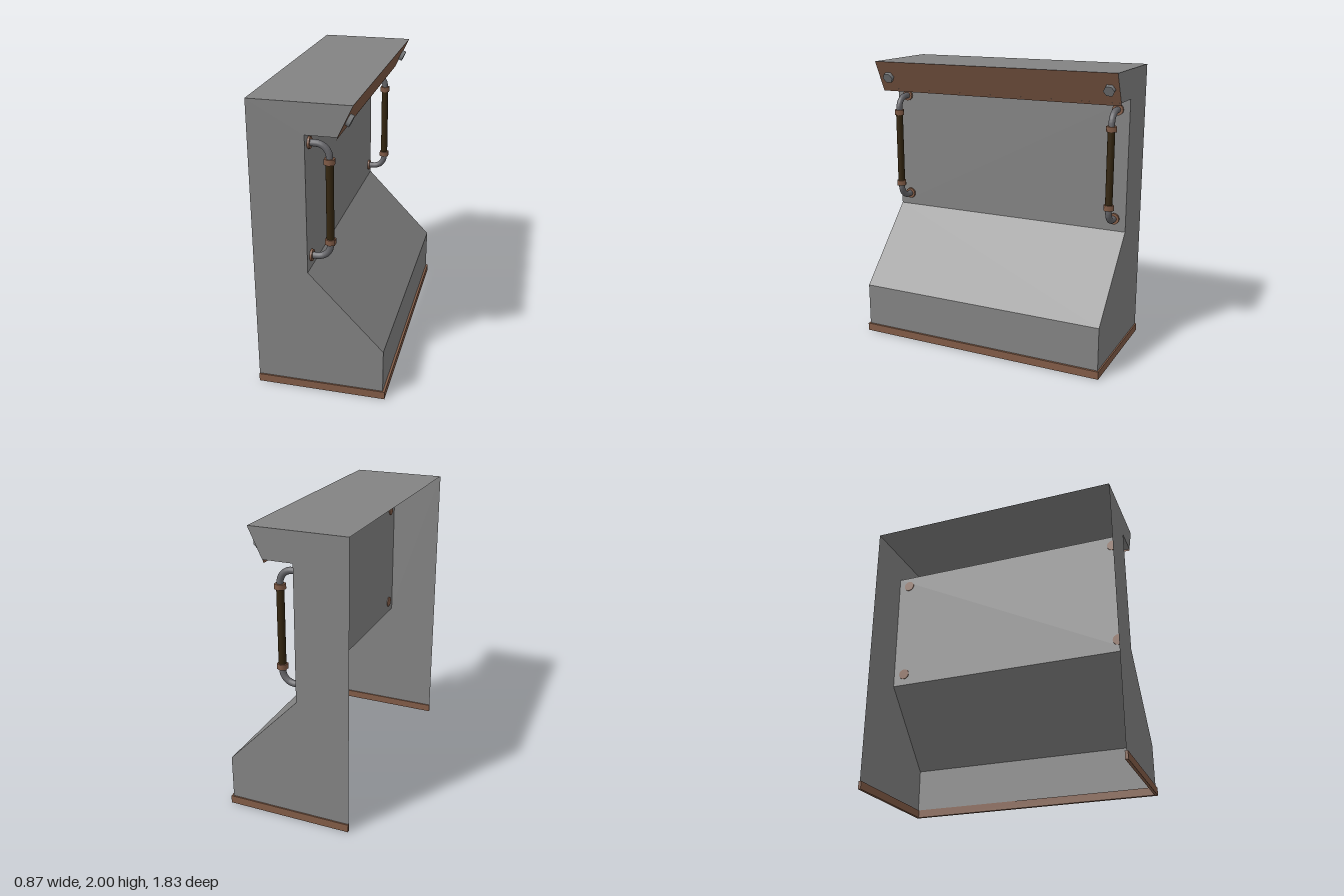
import * as THREE from 'three';

const flat = (name, color, side = THREE.FrontSide) => {
  const m = new THREE.MeshStandardMaterial({ color, side });
  m.name = name;
  return m;
};

export function createModel() {
  const model = new THREE.Group();
  model.name = 'openBackCabinet';
  const grey = flat('panel grey', 0x838383, THREE.DoubleSide);
  const copper = flat('copper brown', 0x825c47, THREE.DoubleSide);
  const steel = flat('pipe steel', 0x66666a);
  const boltGrey = flat('bolt grey', 0x7c7e80);
  const leather = flat('grip dark brown', 0x33250f);

  const add = (parent, name, geo, mat, x = 0, y = 0, z = 0) => {
    const mesh = new THREE.Mesh(geo, mat);
    mesh.name = name;
    mesh.position.set(x, y, z);
    parent.add(mesh);
    return mesh;
  };

  const W = 0.905;
  // Thin sheet spanning the width between two profile points
  const sheet = (name, a, b, mat) => {
    const len = Math.hypot(b[0] - a[0], b[1] - a[1]);
    const geo = new THREE.PlaneGeometry(len, 2 * W).rotateX(-Math.PI / 2);
    const mesh = add(model, name, geo, mat, (a[0] + b[0]) / 2, (a[1] + b[1]) / 2);
    mesh.rotation.z = Math.atan2(b[1] - a[1], b[0] - a[0]);
  };

  // Side profile, from the back top round the front to the floor
  const P = [[-0.438, 2], [0.22, 2], [0.125, 1.8], [-0.077, 1.8],
    [-0.077, 0.88], [0.42, 0.36], [0.42, 0], [-0.438, 0]];
  const profile = new THREE.Shape(P.map(([x, y]) => new THREE.Vector2(x, y)));
  for (const s of [1, -1]) {
    add(model, s > 0 ? 'frontEndWall' : 'backEndWall', new THREE.ShapeGeometry(profile), grey, 0, 0, s * W)
      .rotation.y = 0;
  }

  // Shell sheets; the rear and underside stay open
  sheet('topPanel', P[0], P[1], grey);
  sheet('canopyUnderside', P[3], P[2], grey);
  sheet('uprightPanel', P[4], P[3], grey);
  sheet('slopedPanel', P[4], P[5], grey);
  sheet('lowerPanel', P[5], P[6], grey);
  const lip = [0.115, 1.78];
  sheet('canopyFascia', lip, P[1], copper);

  // Base trim on three sides
  add(model, 'baseTrimLong', new THREE.BoxGeometry(0.025, 0.055, 1.83), copper, 0.4225, 0.0275, 0);
  for (const s of [1, -1]) {
    add(model, 'baseTrimEnd', new THREE.BoxGeometry(0.848, 0.055, 0.02), copper, -0.014, 0.0275, s * W);
  }

  // Hex bolts standing square to the fascia
  const normal = new THREE.Vector3(0.22, -0.105, 0).normalize();
  for (const z of [0.823, -0.84]) {
    const bolt = add(model, 'fasciaBolt', new THREE.CylinderGeometry(0.039, 0.039, 0.03, 6).toNonIndexed(),
      boltGrey, 0.168 + normal.x * 0.012, 1.89 + normal.y * 0.012, z);
    bolt.quaternion.setFromUnitVectors(new THREE.Vector3(0, 1, 0), normal);
  }

  // Pipe handles: wall flanges, bent ends, hex collars and a wrapped grip
  const X = 0.053, top = 1.727, bottom = 0.968;
  for (const s of [1, -1]) {
    const handle = new THREE.Group();
    handle.name = s > 0 ? 'frontHandle' : 'backHandle';
    handle.position.z = s * 0.822;
    model.add(handle);
    for (const [y, dir] of [[top, -1], [bottom, 1]]) {
      const bend = 0.085;
      const path = new THREE.CurvePath();
      const v = (x, yy) => new THREE.Vector3(x, yy, 0);
      const arc = [];
      for (let i = 0; i <= 8; i++) {
        const t = (i / 8) * Math.PI / 2;
        arc.push(v(X - bend + bend * Math.sin(t), y + dir * bend * (1 - Math.cos(t))));
      }
      const pts = [v(-0.08, y), ...arc, v(X, y + dir * 0.12)];
      for (let i = 1; i < pts.length; i++) path.add(new THREE.LineCurve3(pts[i - 1], pts[i]));
      add(handle, 'pipeBend', new THREE.TubeGeometry(path, 24, 0.022, 14), steel);
      add(handle, 'wallFlange', new THREE.CylinderGeometry(0.039, 0.039, 0.02, 16).rotateZ(Math.PI / 2),
        copper, -0.073, y, 0);
      add(handle, 'hexCollar', new THREE.CylinderGeometry(0.037, 0.037, 0.037, 6), copper, X, y + dir * 0.111, 0);
    }
    add(handle, 'grip', new THREE.CylinderGeometry(0.025, 0.025, 0.51, 18), leather, X, (top + bottom) / 2, 0);
  }
  return model;
}
